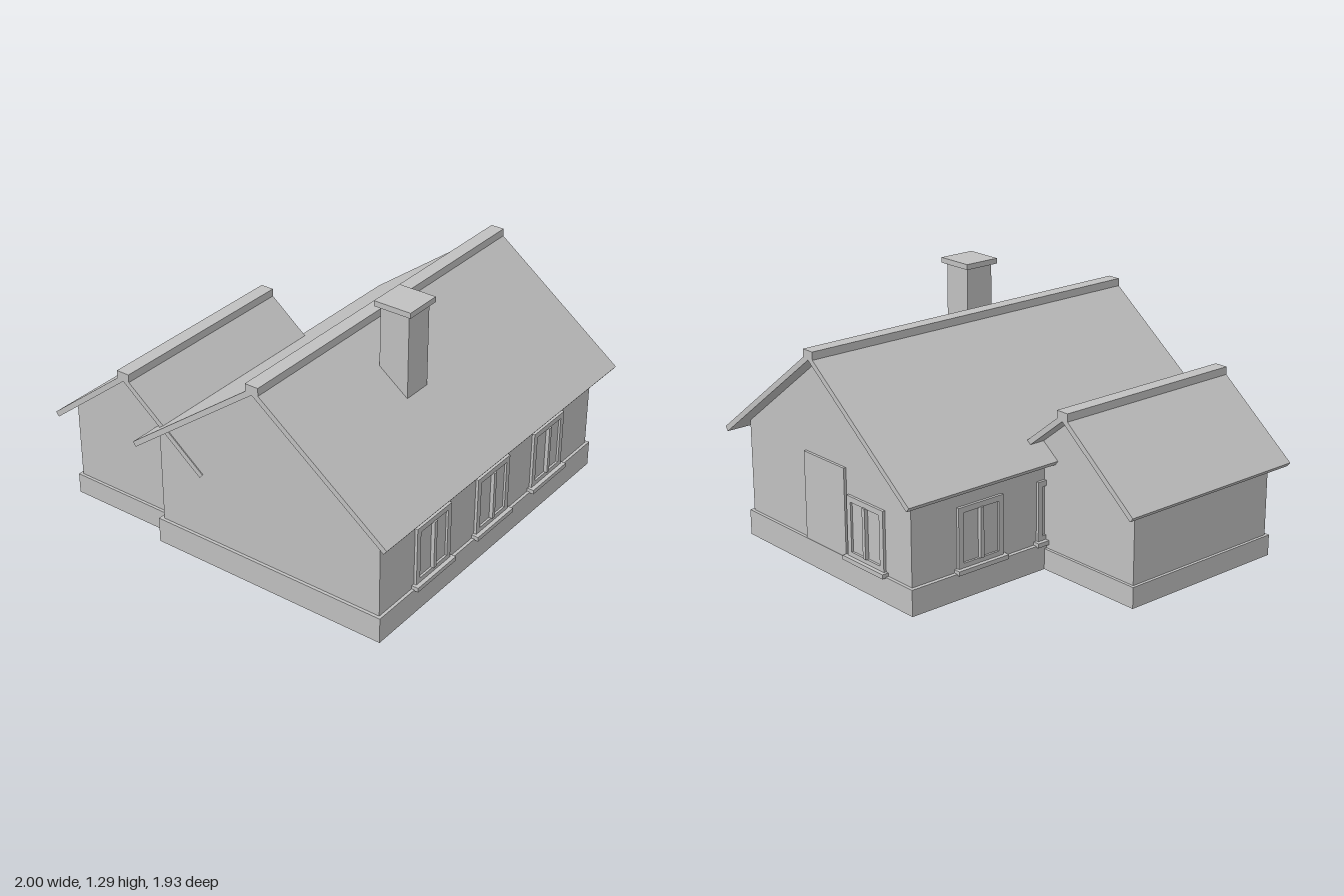
import * as THREE from 'three';

const plaster = new THREE.MeshStandardMaterial({ color: 0xc0c0c0 });
plaster.name = 'plain grey';

function add(parent, name, geometry) {
  const mesh = new THREE.Mesh(geometry, plaster);
  mesh.name = name;
  parent.add(mesh);
  return mesh;
}

// Box given by its lower and upper limits on each axis
function block(parent, name, [x0, x1], [y0, y1], [z0, z1]) {
  const mesh = add(parent, name, new THREE.BoxGeometry(x1 - x0, y1 - y0, z1 - z0));
  mesh.position.set((x0 + x1) / 2, (y0 + y1) / 2, (z0 + z1) / 2);
  return mesh;
}

// Outline in x and y, pulled along z
function prism(parent, name, points, [z0, z1]) {
  const shape = new THREE.Shape(points.map(([x, y]) => new THREE.Vector2(x, y)));
  const geometry = new THREE.ExtrudeGeometry(shape, { depth: z1 - z0, bevelEnabled: false });
  geometry.translate(0, 0, z0);
  return add(parent, name, geometry);
}

// Plinth, gabled walls, folded roof slab and ridge cap
function wing(name, o) {
  const group = new THREE.Group();
  group.name = name;
  const { ridge, peak, slope, reach, wallX, wallZ } = o;
  const under = (x) => peak - slope * Math.abs(x - ridge);
  const thick = 0.027;
  const length = Math.hypot(1, slope);
  const dx = thick * slope / length;
  const dy = thick / length;

  block(group, 'plinth', o.plinthX, [0, o.plinthTop], o.plinthZ);
  prism(group, 'walls', [
    [wallX[0], o.plinthTop], [wallX[1], o.plinthTop],
    [wallX[1], under(wallX[1])], [ridge, peak], [wallX[0], under(wallX[0])],
  ], wallZ);

  const eave = peak - slope * reach;
  prism(group, 'roof', [
    [ridge - reach, eave], [ridge, peak], [ridge + reach, eave],
    [ridge + reach + dx, eave + dy], [ridge, peak + thick * length],
    [ridge - reach - dx, eave + dy],
  ], o.roofZ);
  block(group, 'ridgeCap', [ridge - 0.035, ridge + 0.035], [peak, peak + 0.046], o.roofZ);
  return group;
}

// Window facing +z, with its origin on the wall at plinth height
function makeWindow() {
  const group = new THREE.Group();
  group.name = 'window';
  const outer = new THREE.Shape();
  outer.moveTo(-0.134, 0).lineTo(0.134, 0).lineTo(0.134, 0.315).lineTo(-0.134, 0.315).closePath();
  const hole = new THREE.Path();
  hole.moveTo(-0.106, 0.04).lineTo(-0.106, 0.287).lineTo(0.106, 0.287).lineTo(0.106, 0.04).closePath();
  outer.holes.push(hole);
  add(group, 'windowFrame', new THREE.ExtrudeGeometry(outer, { depth: 0.014, bevelEnabled: false }));
  block(group, 'windowPane', [-0.106, 0.106], [0.04, 0.287], [-0.002, 0.003]);
  block(group, 'mullion', [-0.01, 0.01], [0.04, 0.29], [0, 0.022]);
  block(group, 'windowSill', [-0.15, 0.15], [-0.005, 0.017], [0, 0.035]);
  return group;
}

export function createModel() {
  const house = new THREE.Group();
  house.name = 'house';

  house.add(wing('mainHouse', {
    ridge: 0.285, peak: 1.064, slope: 0.754, reach: 0.696,
    plinthX: [-0.355, 0.92], plinthTop: 0.13, plinthZ: [-0.896, 0.896],
    wallX: [-0.335, 0.905], wallZ: [-0.88, 0.88], roofZ: [-0.963, 0.963],
  }));
  house.add(wing('sideWing', {
    ridge: -0.54, peak: 0.803, slope: 0.795, reach: 0.442,
    plinthX: [-0.945, -0.345], plinthTop: 0.105, plinthZ: [-0.1, 0.82],
    wallX: [-0.93, -0.33], wallZ: [-0.085, 0.805], roofZ: [-0.167, 0.885],
  }));

  // Chimney
  const chimney = new THREE.Group();
  chimney.name = 'chimney';
  block(chimney, 'chimneyStack', [0.468, 0.622], [0.84, 1.263], [0.132, 0.287]);
  block(chimney, 'chimneyCap', [0.446, 0.642], [1.263, 1.29], [0.112, 0.306]);
  house.add(chimney);

  // Windows: three on the left wall, two on the right, one at the back
  const placements = [
    [0.905, 0.484, Math.PI / 2], [0.905, 0, Math.PI / 2], [0.905, -0.484, Math.PI / 2],
    [-0.335, 0, -Math.PI / 2], [-0.335, -0.484, -Math.PI / 2],
    [-0.015, -0.88, Math.PI],
  ];
  for (const [x, z, turn] of placements) {
    const win = makeWindow();
    win.position.set(x, 0.13, z);
    win.rotation.y = turn;
    house.add(win);
  }

  // Back door
  block(house, 'backDoor', [0.135, 0.444], [0.13, 0.57], [-0.894, -0.88]);

  return house;
}
